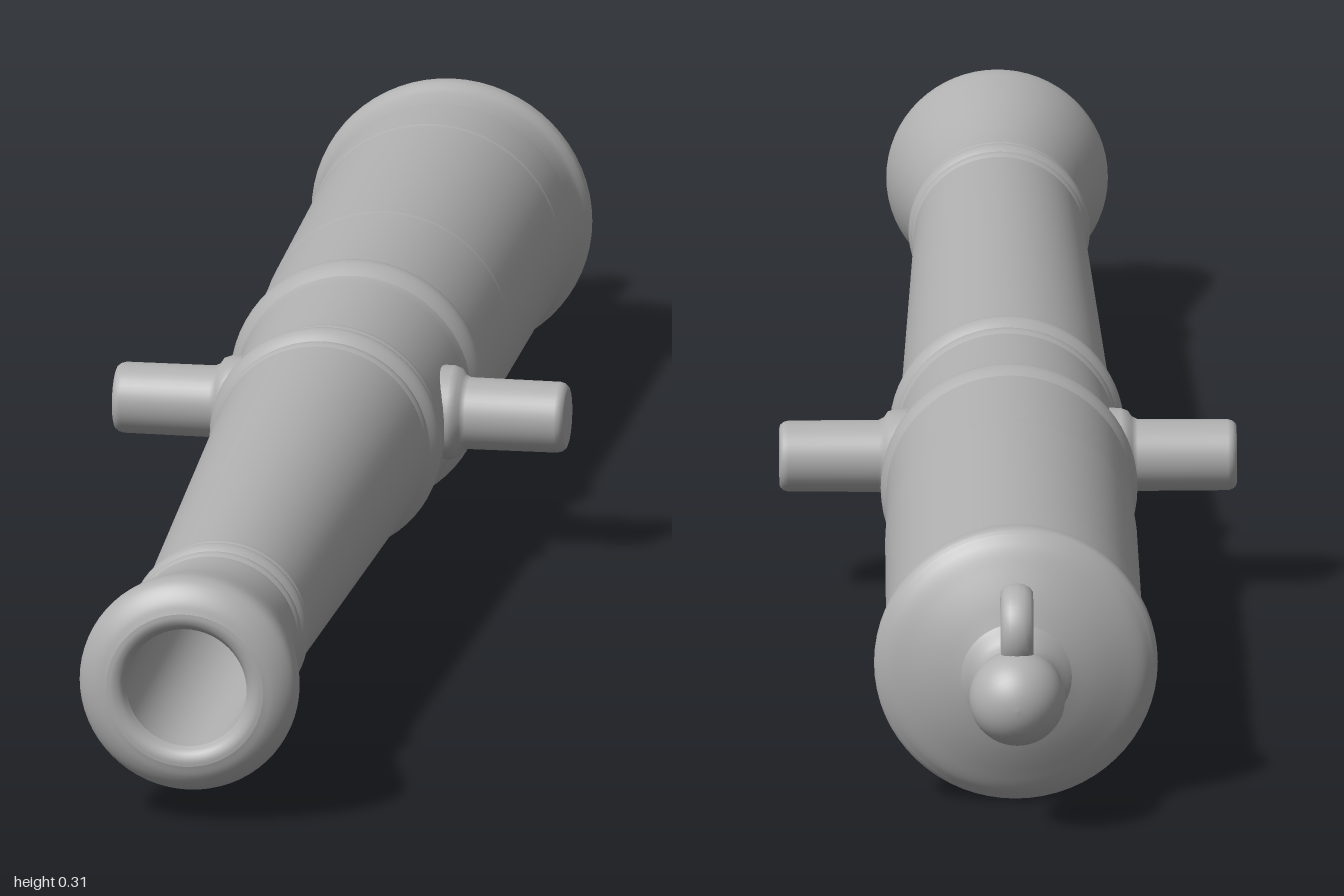
import * as THREE from 'three';

const AXIS_Y = 0.154;

export function createModel() {
  const model = new THREE.Group();
  model.name = 'cannon';
  const metal = new THREE.MeshStandardMaterial({ color: 0xb0b0b0 });
  metal.name = 'grey metal';

  const add = (name, geometry, parent = model) => {
    const mesh = new THREE.Mesh(geometry, metal);
    mesh.name = name;
    parent.add(mesh);
    return mesh;
  };
  // Turned section along the barrel axis; profile is [z, radius] from back to front
  const turned = (name, profile) => {
    const g = new THREE.LatheGeometry(profile.map(([z, r]) => new THREE.Vector2(r, z)), 64);
    g.rotateX(Math.PI / 2);
    g.translate(0, AXIS_Y, 0);
    return add(name, g);
  };
  // Smooth curve through a few profile points
  const smooth = (profile, n = 24) =>
    new THREE.CatmullRomCurve3(profile.map(([z, r]) => new THREE.Vector3(z, r, 0)))
      .getPoints(n).map(p => [p.x, Math.max(0, p.y)]);
  // Rounded moulding sitting on a base radius
  const ring = (name, z, width, r0, r1, height) => {
    const pts = [];
    for (let i = 0; i <= 10; i++) {
      const t = i / 10;
      pts.push([z + (t - 0.5) * width, r0 + (r1 - r0) * t + height * Math.sin(Math.PI * t)]);
    }
    return turned(name, pts);
  };

  // Cascabel: ball and neck
  const ball = [];
  for (let i = 0; i <= 16; i++) {
    const a = i / 16 * 2.3;
    ball.push([-0.948 - 0.052 * Math.cos(a), 0.052 * Math.sin(a)]);
  }
  turned('cascabelBall', ball);
  turned('cascabelNeck', smooth([[-0.914, 0.039], [-0.9, 0.037], [-0.885, 0.043], [-0.872, 0.06]]));

  // Breech dome and base ring
  turned('breechDome', smooth([[-0.872, 0.06], [-0.862, 0.088], [-0.85, 0.115], [-0.838, 0.138], [-0.828, 0.149]]));
  turned('baseRing', smooth([[-0.828, 0.149], [-0.822, 0.153], [-0.81, 0.153], [-0.803, 0.15]], 12));
  turned('baseCove', smooth([[-0.803, 0.15], [-0.795, 0.146], [-0.78, 0.143], [-0.765, 0.1415]], 12));

  // Barrel body, tapering forward in stages
  turned('ventField', [[-0.765, 0.1415], [-0.69, 0.1405]]);
  turned('firstReinforceRear', [[-0.69, 0.1405], [-0.685, 0.139], [-0.37, 0.1365]]);
  turned('firstReinforceFront', [[-0.37, 0.1365], [-0.365, 0.1355], [-0.195, 0.133]]);
  ring('firstReinforceRing', -0.172, 0.046, 0.133, 0.129, 0.008);
  turned('secondReinforce', [[-0.149, 0.129], [-0.135, 0.126], [0.005, 0.119]]);
  ring('secondReinforceFillet', 0.015, 0.02, 0.119, 0.119, 0.003);
  ring('secondReinforceRing', 0.043, 0.036, 0.119, 0.117, 0.009);
  ring('chaseFillet', 0.069, 0.016, 0.117, 0.116, 0.002);
  turned('chase', [[0.077, 0.116], [0.74, 0.0925]]);
  ring('muzzleAstragalRear', 0.748, 0.016, 0.0925, 0.0925, 0.003);
  ring('muzzleAstragal', 0.769, 0.026, 0.0925, 0.092, 0.006);
  ring('muzzleAstragalFront', 0.79, 0.016, 0.092, 0.092, 0.003);

  // Flared muzzle, face and bore
  turned('muzzleSwell', smooth([[0.798, 0.092], [0.83, 0.094], [0.87, 0.1], [0.91, 0.109],
    [0.945, 0.117], [0.965, 0.12], [0.978, 0.118], [0.988, 0.11], [0.996, 0.098], [1, 0.086]], 40));
  turned('muzzleFace', smooth([[1, 0.086], [1, 0.079], [0.996, 0.071], [0.988, 0.066]], 10));
  turned('boreWall', [[0.988, 0.066], [-0.6, 0.066]]);
  turned('boreEnd', [[-0.6, 0.066], [-0.6, 0]]);

  // Trunnions with flared shoulders and rounded ends
  const pin = [[0.08, 0.052], [0.122, 0.051], [0.13, 0.048], [0.134, 0.042], [0.14, 0.039],
    [0.238, 0.0385], [0.243, 0.037], [0.2465, 0.034], [0.2475, 0.031]];
  for (const side of [1, -1]) {
    const trunnion = new THREE.Group();
    trunnion.name = side > 0 ? 'leftTrunnion' : 'rightTrunnion';
    trunnion.position.set(0, 0.158, -0.07);
    trunnion.rotation.z = -side * Math.PI / 2;
    add('trunnionPin', new THREE.LatheGeometry(pin.map(([l, r]) => new THREE.Vector2(r, l)), 40), trunnion);
    const end = add('trunnionEnd', new THREE.CircleGeometry(0.031, 40), trunnion);
    end.rotation.x = -Math.PI / 2;
    end.position.y = 0.2475;
    model.add(trunnion);
  }

  // Breeching loop above the cascabel neck
  const loop = add('breechingLoop', new THREE.TorusGeometry(0.037, 0.012, 14, 40));
  loop.rotation.y = Math.PI / 2;
  loop.scale.z = 1.5;
  loop.position.set(0, 0.222, -0.914);

  return model;
}
